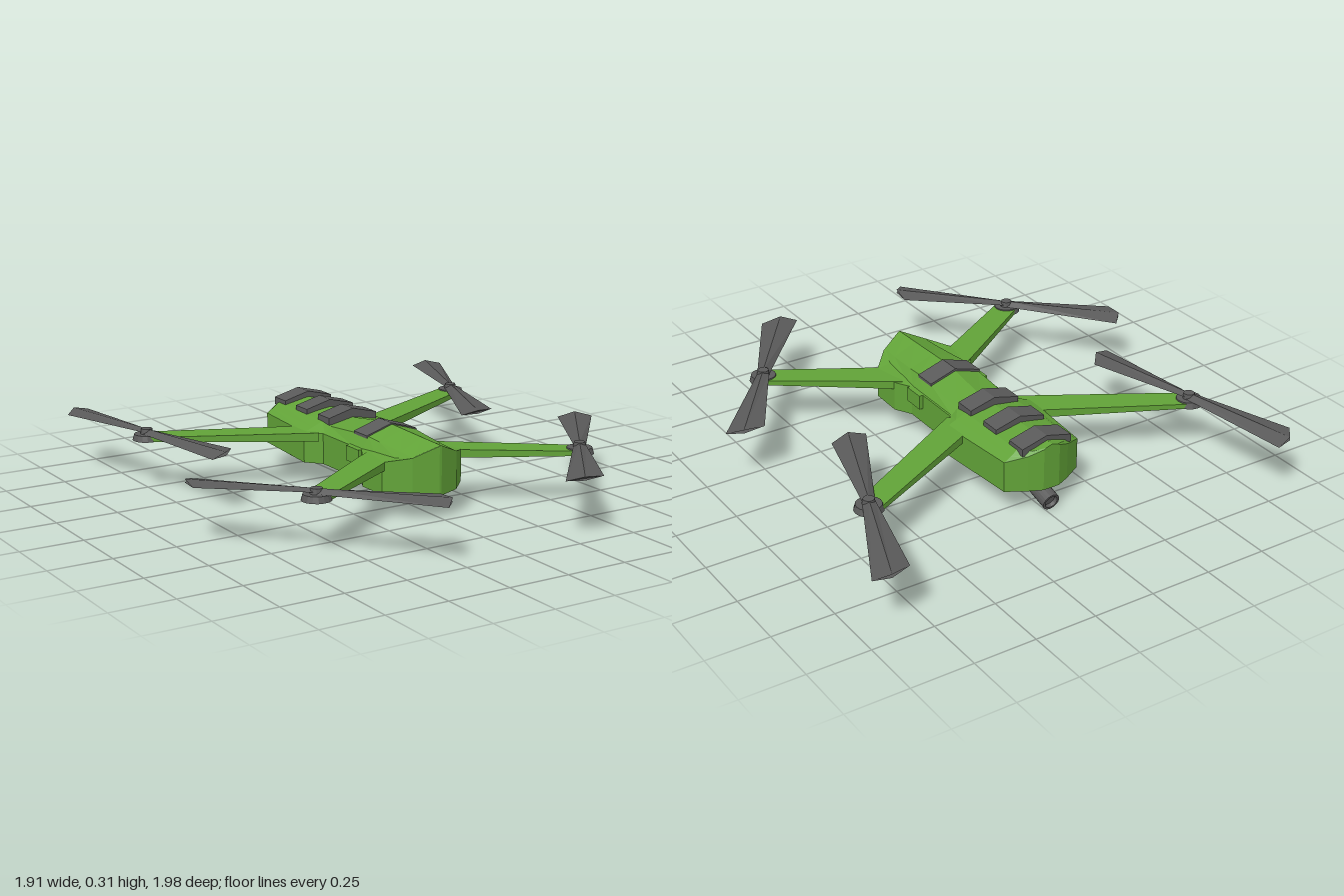
import * as THREE from 'three';

const green = new THREE.MeshStandardMaterial({ color: 0x62a338, flatShading: true, side: THREE.DoubleSide });
const dark = new THREE.MeshStandardMaterial({ color: 0x5a5a5a, flatShading: true, side: THREE.DoubleSide });

// Skin a list of closed cross-sections (arrays of [x, y, z]) and cap both ends.
function loft(sections) {
  const n = sections[0].length, idx = [];
  for (let s = 0; s < sections.length - 1; s++) {
    for (let i = 0; i < n; i++) {
      const a = s * n + i, b = s * n + (i + 1) % n;
      idx.push(a, b, a + n, b, b + n, a + n);
    }
  }
  const last = (sections.length - 1) * n;
  for (let i = 1; i < n - 1; i++) idx.push(0, i + 1, i, last, last + i, last + i + 1);
  const g = new THREE.BufferGeometry();
  g.setAttribute('position', new THREE.Float32BufferAttribute(sections.flat(2), 3));
  g.setIndex(idx);
  const flat = g.toNonIndexed();
  flat.computeVertexNormals();
  return flat;
}

function add(parent, name, geometry, material) {
  const mesh = new THREE.Mesh(geometry, material);
  mesh.name = name;
  parent.add(mesh);
  return mesh;
}

// Hull section, counter-clockwise seen from +z: floor, wall, step, gabled roof.
function hullSection([z, w, yw, a, ya, b, yb, yr]) {
  const half = [[w, 0.1], [w, yw], [a, ya], [b, yb]];
  return [
    ...half.map(([x, y]) => [x, y, z]),
    [0, yr, z],
    ...half.slice().reverse().map(([x, y]) => [-x, y, z]),
  ];
}

// Gabled strip that lies over the roof.
function roofPad(z0, z1, hw, base, eave, ridge) {
  const section = z => [[hw, base, z], [hw, eave, z], [0, ridge, z], [-hw, eave, z], [-hw, base, z]];
  return loft([section(z1), section(z0)]);
}

// Flat tapering arm from the hull (x0, z0) out to the motor (x1, z1).
function armGeometry(x0, z0, x1, z1) {
  const d = new THREE.Vector2(x1 - x0, z1 - z0).normalize();
  const section = (x, z, h, lo, hi) => {
    const px = -d.y * h, pz = d.x * h;
    return [[x + px, lo, z + pz], [x - px, lo, z - pz], [x - px, hi, z - pz], [x + px, hi, z + pz]];
  };
  return loft([section(x0, z0, 0.062, 0.193, 0.228), section(x1, z1, 0.048, 0.2, 0.219)]);
}

// One blade along +x: narrow root, wide clipped tip, raised centre crease.
function bladeGeometry() {
  const section = (xl, xm, xt, l, m, t) => [
    [xl, 0.226, l], [xm, 0.243, m], [xt, 0.233, t], [xm, 0.229, m],
  ];
  return loft([
    section(0, 0, 0, 0.024, 0, -0.024),
    section(0.494, 0.491, 0.434, 0.063, -0.007, -0.077),
  ]);
}

export function createModel() {
  const model = new THREE.Group();
  model.name = 'quadcopter';
  const craft = new THREE.Group();
  craft.name = 'craft';
  craft.position.x = -0.018;
  model.add(craft);

  // Hull: z, wall half width, wall top, step base x/y, step top x/y, ridge
  const stations = [
    [0.495, 0.005, 0.292, 0.004, 0.293, 0.003, 0.294, 0.295],
    [0.455, 0.1, 0.25, 0.097, 0.251, 0.092, 0.254, 0.296],
    [0.37, 0.18, 0.226, 0.12, 0.234, 0.098, 0.256, 0.298],
    [0.235, 0.182, 0.224, 0.13, 0.23, 0.105, 0.264, 0.302],
    [0.165, 0.143, 0.224, 0.137, 0.226, 0.108, 0.27, 0.304],
    [0.07, 0.143, 0.224, 0.137, 0.226, 0.11, 0.266, 0.3],
    [-0.12, 0.143, 0.224, 0.137, 0.226, 0.11, 0.25, 0.272],
    [-0.18, 0.196, 0.224, 0.155, 0.24, 0.11, 0.258, 0.275],
    [-0.53, 0.167, 0.226, 0.14, 0.243, 0.11, 0.264, 0.286],
    [-0.575, 0.09, 0.25, 0.08, 0.258, 0.07, 0.267, 0.288],
    [-0.6, 0.035, 0.275, 0.03, 0.278, 0.025, 0.281, 0.289],
  ];
  add(craft, 'hull', loft(stations.map(hullSection)), green);

  // Roof pads
  for (const z of [-0.565, -0.39, -0.215]) {
    add(craft, 'roofPad', roofPad(z, z + 0.087, 0.11, 0.25, 0.28, 0.308), dark);
  }
  add(craft, 'roofBand', roofPad(0.065, 0.16, 0.115, 0.262, 0.273, 0.309), dark);

  // Side blocks on the waist
  for (const s of [-1, 1]) {
    add(craft, 'sideBlock', new THREE.BoxGeometry(0.04, 0.06, 0.09), green)
      .position.set(s * 0.14, 0.195, 0.125);
  }

  // Slanted tube under the tail, with a recessed end
  const r = 0.036;
  const tubeProfile = [[0, 0], [r, 0], [r, 0.42], [0.027, 0.42], [0.024, 0.405], [0, 0.405]]
    .map(p => new THREE.Vector2(...p));
  const tube = add(craft, 'tailTube', new THREE.LatheGeometry(tubeProfile, 20), dark);
  tube.rotation.x = -Math.PI / 2 - 0.26;
  tube.position.set(0, 0.145, -0.197);

  // Arms, motors and propellers: side, hull joint, motor centre, blade direction
  const rotors = [
    [-1, 0.13, -0.18, 0.73, -0.5, -0.19, -0.98],
    [1, 0.13, -0.18, 0.73, -0.5, 0.373, -0.928],
    [-1, 0.12, 0.27, 0.59, 0.58, 0.68, 0.73],
    [1, 0.12, 0.27, 0.59, 0.58, 0.6, -0.8],
  ];
  const blade = bladeGeometry();
  for (const [s, x0, z0, x1, z1, ux, uz] of rotors) {
    const place = z1 > 0 ? 'front' : 'rear';
    add(craft, place + 'Arm', armGeometry(s * x0, z0, s * x1, z1), green);

    const rotor = new THREE.Group();
    rotor.name = place + 'Rotor';
    rotor.position.set(s * x1, 0, z1);
    craft.add(rotor);
    add(rotor, 'motor', new THREE.CylinderGeometry(0.05, 0.057, 0.024, 16), dark).position.y = 0.212;
    add(rotor, 'hub', new THREE.CylinderGeometry(0.022, 0.026, 0.024, 12), dark).position.y = 0.233;
    for (const turn of [0, Math.PI]) {
      add(rotor, 'blade', blade, dark).rotation.y = Math.atan2(-uz, ux) + turn;
    }
  }
  return model;
}
